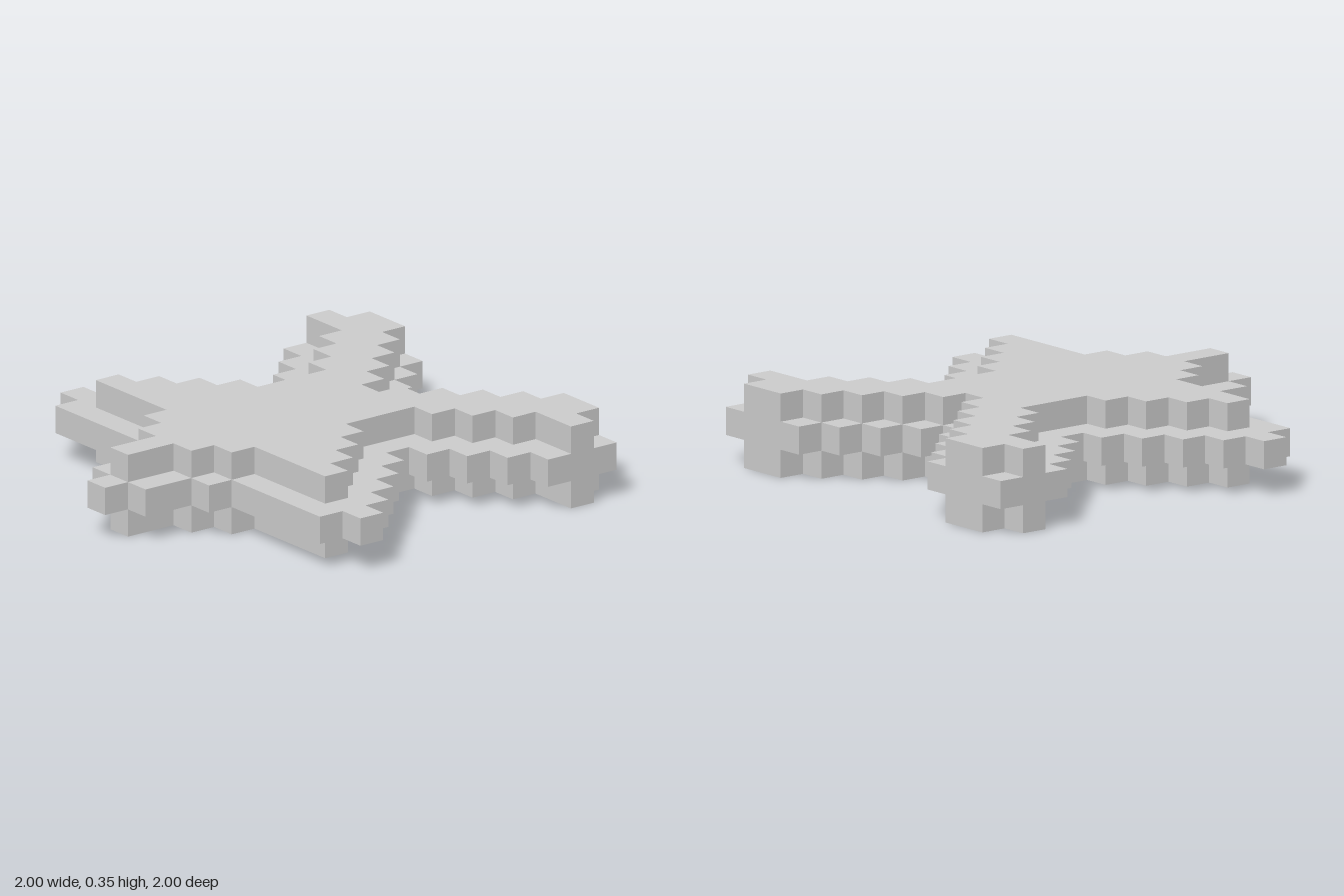
import * as THREE from 'three';

const U = 2 / 17; // edge of one cube in the blocky grid

// Half widths per row, back to front, in cubes beside the centre column.
// notch: inner edge of the two back arms; edge: outer edge of the star.
const WIDE = {
  notch: [3, 2, 1, 0],
  edge: [7, 7, 7, 6, 5, 4, 3, 4, 5, 6, 7, 8, 7, 2, 1, 1, 0],
};
const NARROW = {
  notch: [4, 3, 2, 1, 0],
  edge: [6, 7, 5, 4, 3, 2, 2, 2, 3, 4, 5, 6, 2, 1, 0, 0],
};

// Stepped outline: walk the left half from notch to front tip, then mirror it.
function starShape({ notch, edge }) {
  const half = [];
  const add = (cells, row) => {
    const p = new THREE.Vector2((cells + 0.5) * U, 1 - row * U);
    if (!half.length || half[half.length - 1].distanceTo(p) > 1e-6) half.push(p);
  };
  for (let k = notch.length - 1; k >= 0; k--) {
    add(notch[k], k + 1);
    add(notch[k], k);
  }
  edge.forEach((cells, k) => {
    add(cells, k);
    add(cells, k + 1);
  });
  const mirrored = half.map((p) => new THREE.Vector2(-p.x, p.y)).reverse();
  return new THREE.Shape([...half, ...mirrored]);
}

export function createModel() {
  const group = new THREE.Group();
  group.name = 'blockStar';
  const material = new THREE.MeshStandardMaterial({ color: 0xcccccc, flatShading: true });

  // Three stacked slabs, the middle one one cube wider all round
  const layers = [['bottomLayer', NARROW], ['middleLayer', WIDE], ['topLayer', NARROW]];
  layers.forEach(([name, rows], i) => {
    const geometry = new THREE.ExtrudeGeometry(starShape(rows), { depth: U, bevelEnabled: false });
    geometry.rotateX(-Math.PI / 2);
    const mesh = new THREE.Mesh(geometry, material);
    mesh.name = name;
    mesh.position.y = i * U;
    group.add(mesh);
  });
  return group;
}
